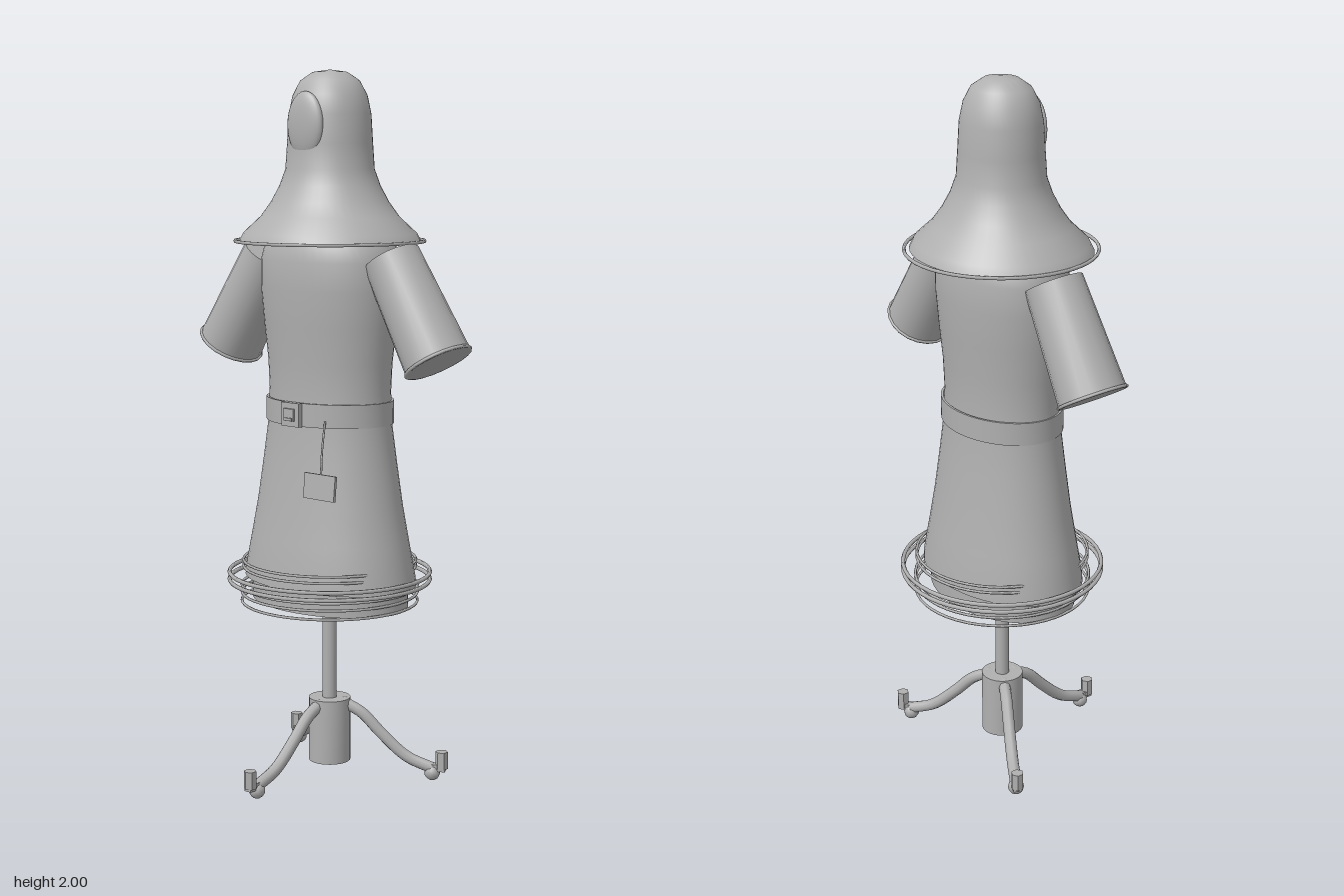
import * as THREE from 'three';
import { toCreasedNormals } from 'three/addons/utils/BufferGeometryUtils.js';

export function createModel() {
  const model = new THREE.Group();
  const stand = new THREE.Group();
  stand.name = 'robeOnStand';
  stand.position.z = -0.025;
  model.add(stand);

  const grey = new THREE.MeshStandardMaterial({ color: 0xb0b0b0, side: THREE.DoubleSide });
  grey.name = 'grey';

  function add(name, geo, x = 0, y = 0, z = 0, parent = stand) {
    const mesh = new THREE.Mesh(geo, grey);
    mesh.name = name;
    mesh.position.set(x, y, z);
    parent.add(mesh);
    return mesh;
  }
  const lathe = (pts, depth, seg = 48) => toCreasedNormals(
    new THREE.LatheGeometry(pts.map(p => new THREE.Vector2(...p)), seg).scale(1, 1, depth), 0.6);
  const ring = (name, r, y, tube) =>
    add(name, new THREE.TorusGeometry(r, tube, 6, 48).rotateX(Math.PI / 2), 0, y);
  const v = (x, y, z) => new THREE.Vector3(x, y, z);

  // Robe body, flattened front to back, with a stepped hem and closed base
  add('robe', lathe([
    [0, 0.51], [0.25, 0.51], [0.25, 0.57], [0.275, 0.575], [0.273, 0.6], [0.252, 0.7],
    [0.232, 0.8], [0.213, 0.92], [0.197, 1.03], [0.193, 1.12], [0.197, 1.2], [0.209, 1.3],
    [0.219, 1.4], [0.219, 1.48], [0.205, 1.53], [0.16, 1.58], [0.09, 1.62], [0, 1.64],
  ], 0.715));

  // Hood and cape with a thin wire rim
  add('hood', lathe([
    [0.263, 1.53], [0.25, 1.555], [0.2, 1.6], [0.17, 1.64], [0.145, 1.685], [0.128, 1.73],
    [0.123, 1.8], [0.118, 1.88], [0.107, 1.93], [0.085, 1.97], [0.05, 1.993], [0, 2],
  ], 0.92));
  ring('hoodRim', 0.263, 1.533, 0.005);
  add('facePlate', new THREE.SphereGeometry(1, 24, 16).scale(0.063, 0.09, 0.022), 0, 1.85, 0.1);

  // Sleeves with cuffs
  for (const side of [1, -1]) {
    const arm = new THREE.Group();
    arm.name = side > 0 ? 'leftSleeve' : 'rightSleeve';
    arm.position.set(side * 0.308, 1.356, 0);
    arm.rotation.z = side * 0.55;
    stand.add(arm);
    add('sleeve', toCreasedNormals(new THREE.CylinderGeometry(0.08, 0.094, 0.32, 20), 0.6), 0, 0, 0, arm);
    add('cuff', new THREE.TorusGeometry(0.094, 0.005, 6, 20).rotateX(Math.PI / 2), 0, -0.156, 0, arm);
  }

  // Belt and buckle
  add('belt', lathe([[0.19, 1.03], [0.198, 1.03], [0.198, 1.095], [0.19, 1.095]], 0.77));
  add('buckle', new THREE.BoxGeometry(0.066, 0.066, 0.02), 0, 1.062, 0.153);
  add('bucklePlate', new THREE.BoxGeometry(0.036, 0.034, 0.012), 0, 1.062, 0.164);
  add('bucklePin', new THREE.BoxGeometry(0.03, 0.008, 0.008), 0, 1.05, 0.17);

  // Tag hanging from the belt on a cord
  const cord = new THREE.CatmullRomCurve3([v(0.105, 1.05, 0.135), v(0.112, 0.97, 0.155), v(0.122, 0.9, 0.17)]);
  add('tagCord', new THREE.TubeGeometry(cord, 8, 0.003, 6));
  add('tag', new THREE.BoxGeometry(0.112, 0.07, 0.008), 0.12, 0.875, 0.172).rotation.x = -0.1;

  // Wire hoops round the hem
  for (const [r, y] of [[0.245, 0.633], [0.245, 0.615], [0.285, 0.598], [0.285, 0.577],
    [0.25, 0.56], [0.25, 0.54], [0.25, 0.515]]) ring('hemHoop', r, y, r > 0.26 ? 0.006 : 0.004);

  // Pole and hub
  add('pole', new THREE.CylinderGeometry(0.02, 0.02, 0.34, 16), 0, 0.37);
  add('hub', toCreasedNormals(new THREE.CylinderGeometry(0.06, 0.06, 0.185, 24), 0.6), 0, 0.135);

  // Three curved legs with castors
  const path = new THREE.CatmullRomCurve3([
    v(0, 0.212, 0.045), v(0, 0.185, 0.095), v(0, 0.13, 0.15), v(0, 0.065, 0.225), v(0, 0.035, 0.3)]);
  for (let i = 0; i < 3; i++) {
    const leg = new THREE.Group();
    leg.name = 'leg';
    leg.rotation.y = i * Math.PI * 2 / 3;
    stand.add(leg);
    add('legTube', new THREE.TubeGeometry(path, 20, 0.017, 8), 0, 0, 0, leg);
    add('legTop', new THREE.SphereGeometry(0.017, 10, 8), 0, 0.212, 0.045, leg);
    add('footBall', new THREE.SphereGeometry(0.023, 10, 8), 0, 0.023, 0.3, leg);
    add('footArm', new THREE.BoxGeometry(0.024, 0.02, 0.04), 0, 0.038, 0.318, leg);
    add('footTip', toCreasedNormals(
      new THREE.CylinderGeometry(0.018, 0.018, 0.05, 6), 0.4), 0, 0.06, 0.327, leg);
  }
  return model;
}
